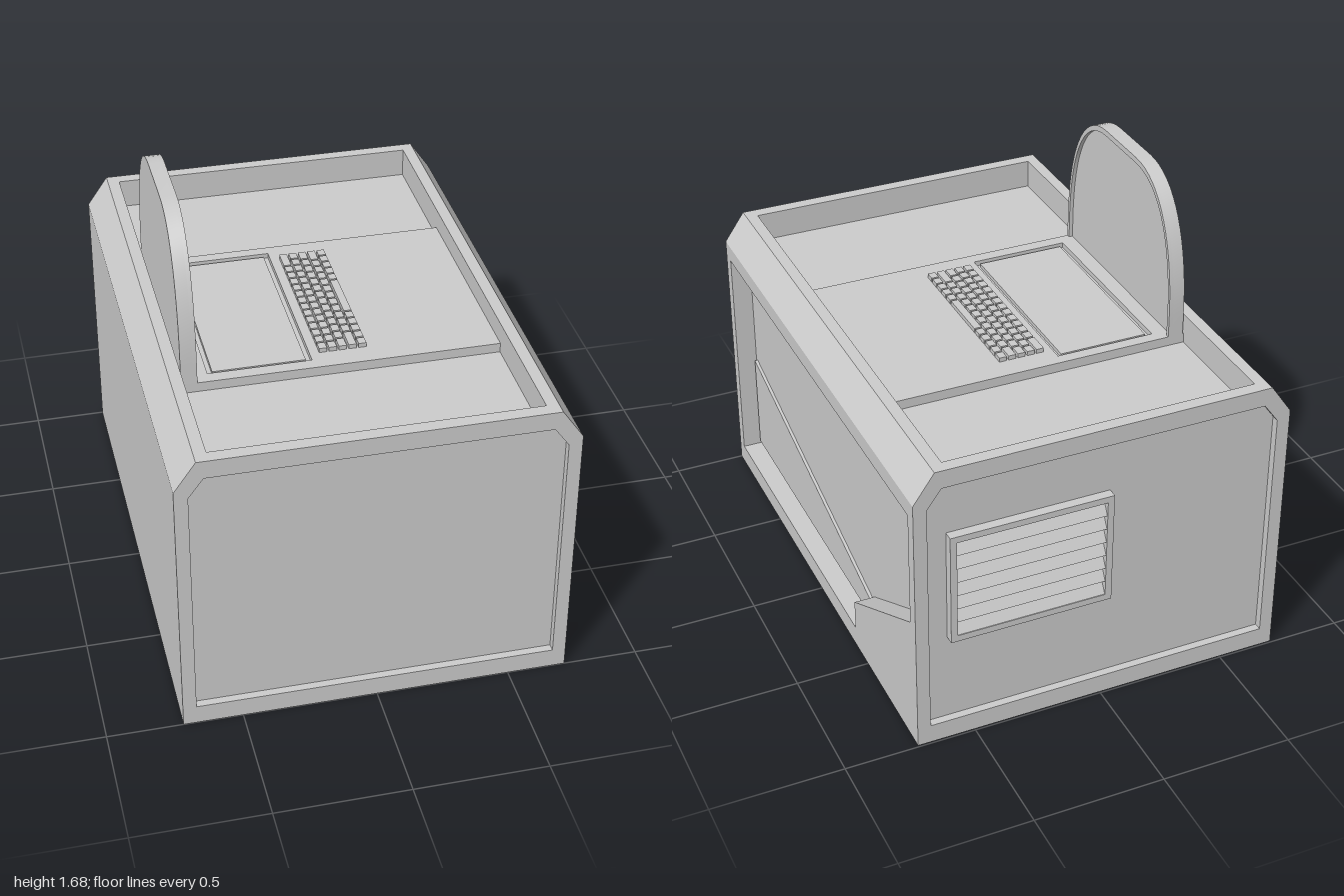
import * as THREE from 'three';
import { toCreasedNormals } from 'three/addons/utils/BufferGeometryUtils.js';

const material = new THREE.MeshStandardMaterial({ color: 0xcccccc });
const FRONT = 1, BACK = -0.993;        // end planes of the case
const FLOOR = 1.045, DECK = 1.082;     // top recess floor and raised deck
const END_DEPTH = 0.03;

const toPoints = (list) => list.map(([x, y]) => new THREE.Vector2(x, y));
const rect = (x0, y0, x1, y1) => [[x0, y0], [x1, y0], [x1, y1], [x0, y1]];

// Extruded outline with optional holes. axis 'z': (x, y); 'x': (-z, y); 'y': (x, -z)
function slab(name, outline, start, end, axis = 'z', holes = []) {
  const shape = new THREE.Shape(toPoints(outline));
  holes.forEach((h) => shape.holes.push(new THREE.Path(toPoints(h))));
  let geo = new THREE.ExtrudeGeometry(shape, { depth: end - start, bevelEnabled: false });
  geo.translate(0, 0, start);
  if (axis === 'x') geo.rotateY(Math.PI / 2);
  if (axis === 'y') geo.rotateX(-Math.PI / 2);
  geo = toCreasedNormals(geo, 0.5);
  const mesh = new THREE.Mesh(geo, material);
  mesh.name = name;
  return mesh;
}

// Half-round arch outline standing on the deck
function arch(halfWidth, top, flat) {
  const s = new THREE.Shape();
  s.moveTo(halfWidth, FLOOR);
  s.lineTo(halfWidth, 1.16);
  s.bezierCurveTo(halfWidth, 1.45, 0.33 * halfWidth / 0.43, top, flat, top);
  s.lineTo(-flat, top);
  s.bezierCurveTo(-0.33 * halfWidth / 0.43, top, -halfWidth, 1.45, -halfWidth, 1.16);
  s.lineTo(-halfWidth, FLOOR);
  return s.getPoints(16).map((p) => [p.x, p.y]);
}

function buildCase() {
  const g = new THREE.Group();
  g.name = 'case';
  const z0 = BACK + END_DEPTH, z1 = FRONT - END_DEPTH;
  g.add(slab('core', rect(-0.72, 0, 0.64, FLOOR), z0, z1));

  // Chamfered frames around the recessed front and back panels
  const outer = [[-0.72, 0], [0.72, 0], [0.72, FLOOR], [0.64, 1.16], [-0.64, 1.16], [-0.72, FLOOR]];
  const inner = [[-0.67, 0.075], [0.67, 0.075], [0.67, 1.015], [0.615, 1.09], [-0.615, 1.09], [-0.67, 1.015]];
  g.add(slab('frontFrame', outer, z1, FRONT, 'z', [inner]));
  g.add(slab('backFrame', outer, BACK, z0, 'z', [inner]));

  // Rim around the top recess and the sloping shoulders
  g.add(slab('topRim', rect(-0.64, -z1, 0.64, -z0), FLOOR, 1.16, 'y', [rect(-0.595, -0.95, 0.595, 0.945)]));
  for (const s of [-1, 1]) {
    g.add(slab('shoulder', [[0.64 * s, FLOOR], [0.72 * s, FLOOR], [0.64 * s, 1.16]], z0, z1));
  }

  // Side wall with its angled opening, and the raised wedge panel inside
  const opening = [[-0.95, 0.08], [0.375, 0.08], [0.375, 0.2], [0.945, 0.525], [0.945, 0.98], [-0.95, 0.98]];
  g.add(slab('sideWall', rect(-z1, 0, -z0, FLOOR), 0.64, 0.72, 'x', [opening]));
  g.add(slab('sideWedge', [[-0.935, 0.1], [0.36, 0.1], [0.36, 0.18], [-0.935, 0.5]], 0.64, 0.652, 'x'));
  return g;
}

function buildDeck() {
  const g = new THREE.Group();
  g.name = 'deck';
  const outline = rect(-0.595, -0.43, 0.595, 0.43);
  g.add(slab('deckBase', outline, FLOOR, DECK - 0.02, 'y'));
  g.add(slab('deckTop', outline, DECK - 0.02, DECK, 'y', [rect(-0.485, -0.38, -0.1, 0.385)]));
  g.add(slab('insetPanel', rect(-0.465, -0.365, -0.12, 0.37), DECK - 0.02, DECK - 0.005, 'y'));
  return g;
}

// Keys run along z; widths are in units of one key
function buildKeyboard() {
  const g = new THREE.Group();
  g.name = 'keyboard';
  const one = (n) => Array(n).fill(1);
  const rows = [
    [...one(13), 2],
    [...one(14), 1],
    [1.2, ...one(12), 1.2],
    [2, ...one(11), 1.5],
    [1, 1, 1, 1, 1, 5, 1, 1, 1, 1, 1],
  ];
  rows.forEach((widths, r) => {
    const unit = 0.685 / widths.reduce((a, b) => a + b, 0);
    const x = -0.05 + r * 0.037;
    let z = 0.343;
    for (const w of widths) {
      const len = w * unit;
      const key = new THREE.Mesh(new THREE.BoxGeometry(0.029, 0.018, len - 0.008), material);
      key.name = 'key';
      key.position.set(x, DECK + 0.008, z - len / 2);
      g.add(key);
      z -= len;
    }
  });
  return g;
}

// Upright arched screen: back plate plus a thin raised border
function buildScreen() {
  const g = new THREE.Group();
  g.name = 'screen';
  const outer = arch(0.43, 1.68, 0.12);
  const inner = arch(0.415, 1.658, 0.12);
  g.add(slab('screenPlate', outer, -0.59, -0.545, 'x'));
  g.add(slab('screenBorder', [...outer, ...inner.reverse()], -0.545, -0.53, 'x'));
  return g;
}

function buildVent() {
  const g = new THREE.Group();
  g.name = 'vent';
  const base = -BACK - END_DEPTH, count = 7, y0 = 0.455, pitch = 0.4 / count;
  g.add(slab('ventFrame', rect(-0.03, 0.43, 0.59, 0.88), -1, -base, 'z', [rect(-0.005, y0, 0.565, 0.855)]));
  for (let i = 0; i < count; i++) {
    const y = y0 + i * pitch;
    g.add(slab('louver', [[base, y], [0.997, y], [base, y + pitch]], -0.005, 0.565, 'x'));
  }
  return g;
}

export function createModel() {
  const model = new THREE.Group();
  model.name = 'consoleCase';
  model.add(buildCase(), buildDeck(), buildKeyboard(), buildScreen(), buildVent());
  return model;
}
